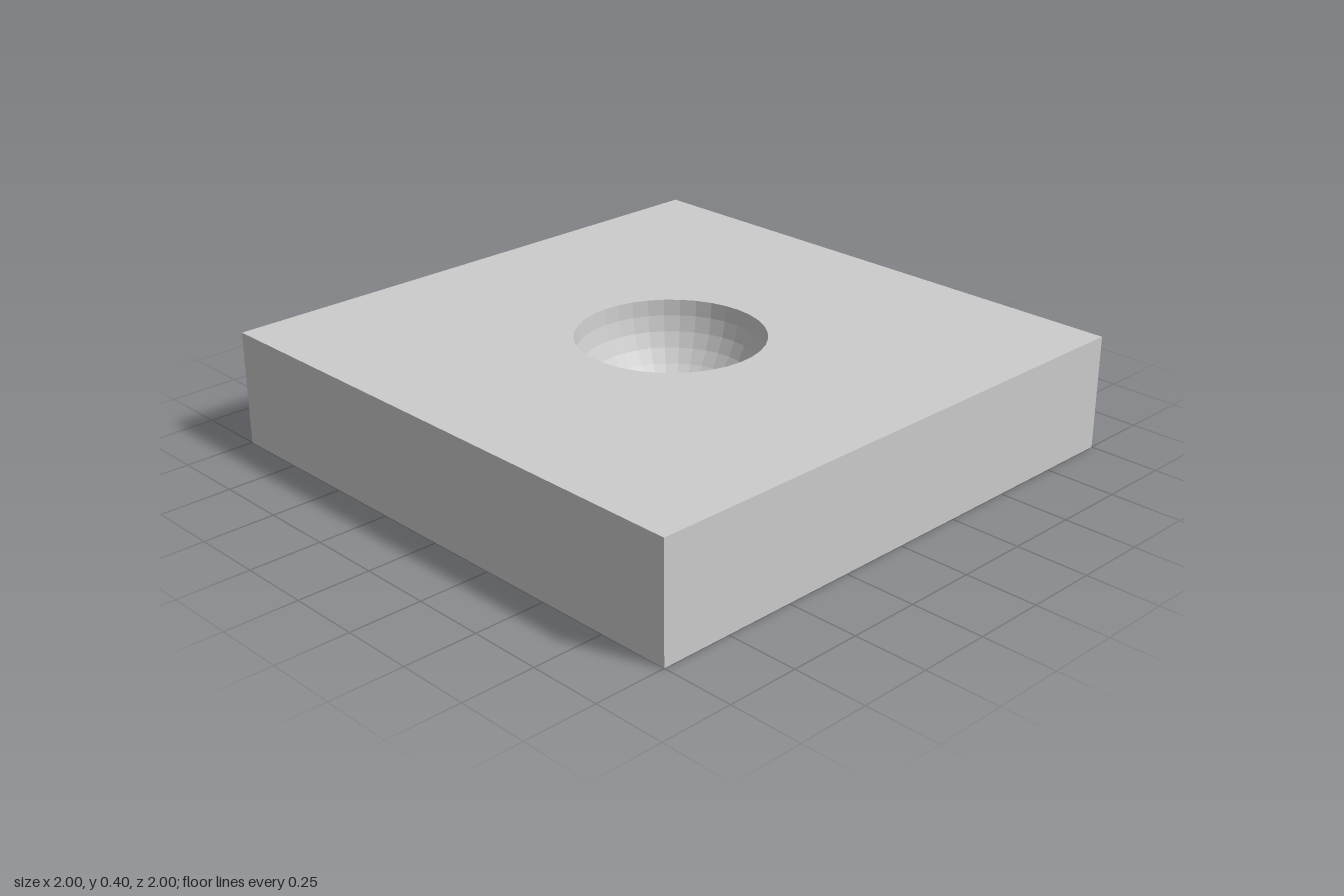
import * as THREE from 'three';

const HALF = 1, HEIGHT = 0.4, RADIUS = 0.32, SEGMENTS = 36, RINGS = 9;

export function createModel() {
  const group = new THREE.Group();
  const material = new THREE.MeshStandardMaterial({ color: 0xcccccc, flatShading: true });
  const add = (name, geometry, y) => {
    const mesh = new THREE.Mesh(geometry, material);
    mesh.name = name;
    mesh.position.y = y;
    group.add(mesh);
  };

  // Sides and underside of the slab: a box without its top face
  const box = new THREE.BoxGeometry(2 * HALF, HEIGHT, 2 * HALF);
  const index = Array.from(box.index.array);
  index.splice(12, 6);
  box.setIndex(index);
  box.clearGroups();
  add('slabSides', box, HEIGHT / 2);

  // Top face with a round opening that matches the rim of the bowl
  const top = new THREE.Shape([
    new THREE.Vector2(-HALF, -HALF), new THREE.Vector2(HALF, -HALF),
    new THREE.Vector2(HALF, HALF), new THREE.Vector2(-HALF, HALF),
  ]);
  const rim = [];
  for (let i = 0; i < SEGMENTS; i++) {
    const a = (i / SEGMENTS) * Math.PI * 2;
    rim.push(new THREE.Vector2(RADIUS * Math.sin(a), RADIUS * Math.cos(a)));
  }
  top.holes.push(new THREE.Path(rim));
  add('slabTop', new THREE.ShapeGeometry(top).rotateX(-Math.PI / 2), HEIGHT);

  // Hemispherical hollow, profile from rim to bottom so it faces inward
  const profile = [];
  for (let i = 0; i <= RINGS; i++) {
    const a = (i / RINGS) * Math.PI / 2;
    profile.push(new THREE.Vector2(i === RINGS ? 0 : RADIUS * Math.cos(a), -RADIUS * Math.sin(a)));
  }
  add('bowl', new THREE.LatheGeometry(profile, SEGMENTS), HEIGHT);

  return group;
}
